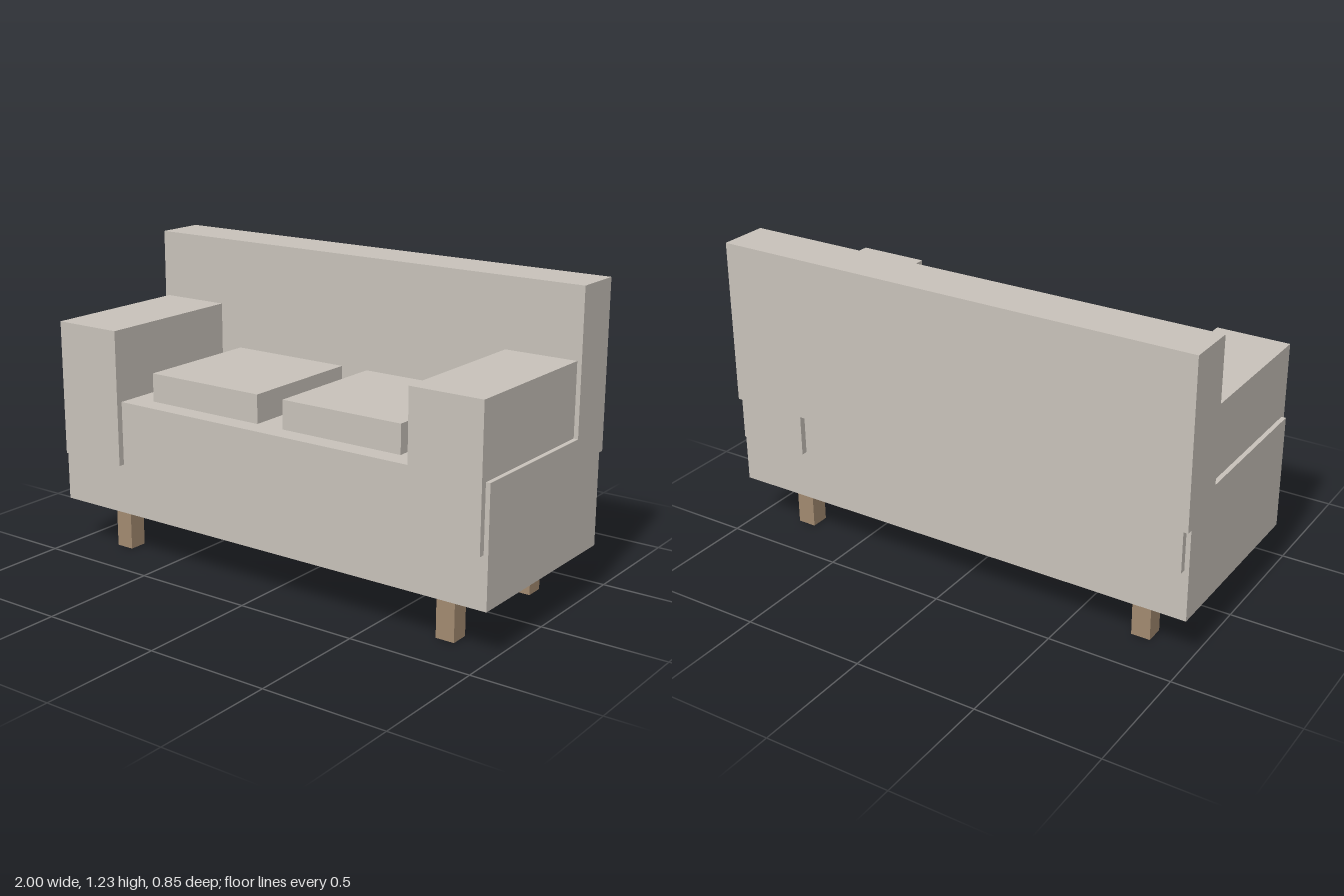
import * as THREE from 'three';

export function createModel() {
  const sofa = new THREE.Group();
  sofa.name = 'sofa';

  const fabric = new THREE.MeshStandardMaterial({ color: 0xc8c2ba });
  fabric.name = 'beige fabric';
  const wood = new THREE.MeshStandardMaterial({ color: 0xa28a70 });
  wood.name = 'brown wood';

  // Box given by its extents on each axis
  function block(name, material, [x0, x1], [y0, y1], [z0, z1]) {
    const mesh = new THREE.Mesh(new THREE.BoxGeometry(x1 - x0, y1 - y0, z1 - z0), material);
    mesh.position.set((x0 + x1) / 2, (y0 + y1) / 2, (z0 + z1) / 2);
    mesh.name = name;
    sofa.add(mesh);
  }

  // Seat base and backrest
  block('seatBase', fabric, [-1, 1], [0.195, 0.66], [-0.4, 0.4]);
  block('backrest', fabric, [-1, 1], [0.565, 1.228], [-0.425, -0.222]);

  // Mirrored armrests, cushions and legs
  for (const [side, s] of [['left', 1], ['right', -1]]) {
    const span = (a, b) => (s > 0 ? [a, b] : [-b, -a]);
    block(side + 'Armrest', fabric, span(0.685, 0.982), [0.4, 0.951], [-0.425, 0.425]);
    block(side + 'Cushion', fabric, span(0.06, 0.587), [0.64, 0.775], [-0.23, 0.32]);
    block(side + 'FrontLeg', wood, span(0.743, 0.82), [0, 0.2], [0.235, 0.311]);
    block(side + 'BackLeg', wood, span(0.743, 0.82), [0, 0.2], [-0.311, -0.235]);
  }

  return sofa;
}
